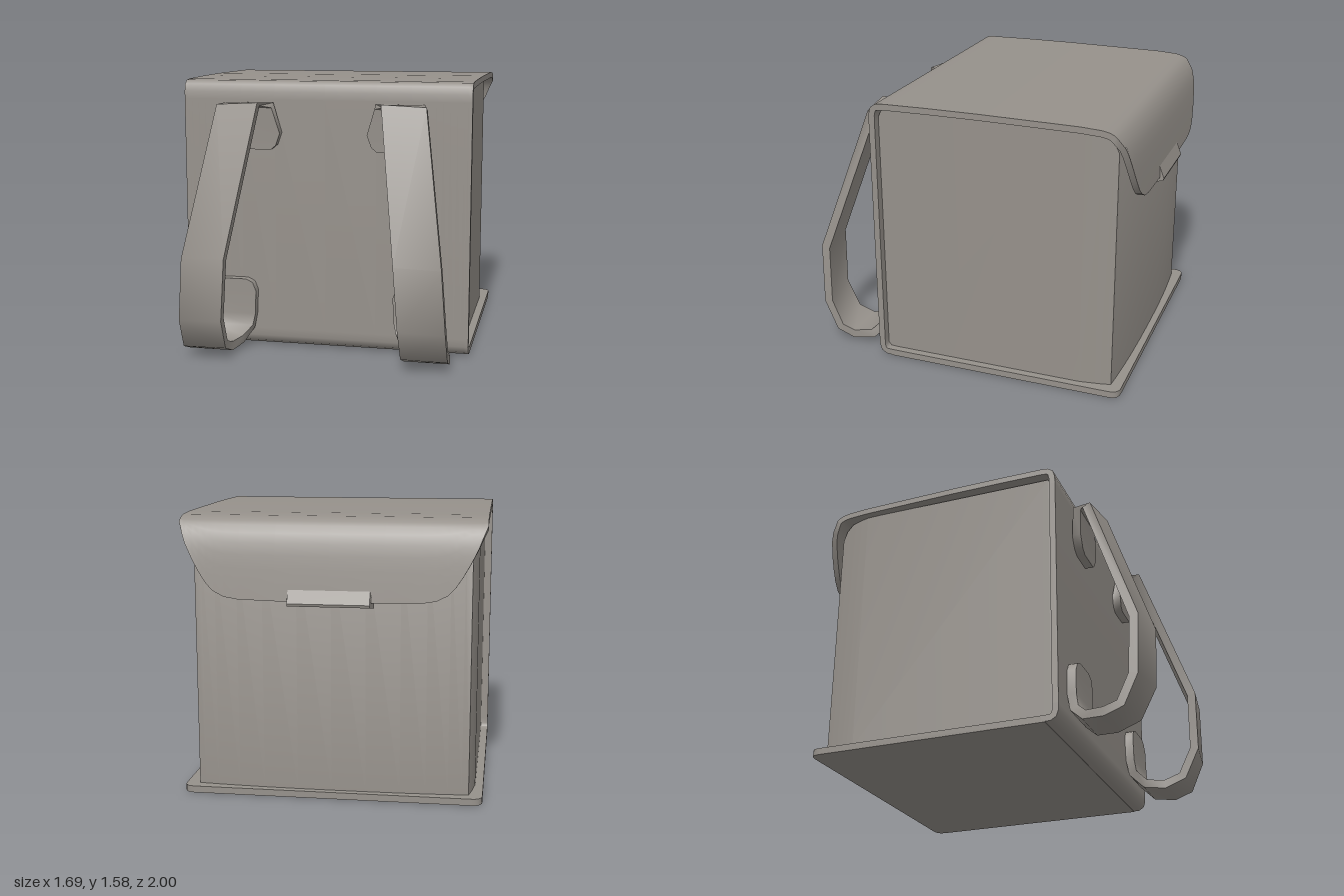
import * as THREE from 'three';
import { toCreasedNormals } from 'three/addons/utils/BufferGeometryUtils.js';

const material = new THREE.MeshStandardMaterial({ color: 0x96918b });

// Joins closed cross-sections (arrays of [x, y, z]) into a capped solid facing outwards.
function loft(sections, crease = 0.9) {
  const n = sections[0].length, last = (sections.length - 1) * n;
  const points = sections.flat();
  let index = [];
  const quad = (a, b, c, d) => index.push(a, b, c, a, c, d);
  for (let s = 0; s < last; s += n) {
    for (let i = 0; i < n; i++) {
      const j = (i + 1) % n;
      quad(s + i, s + j, s + n + j, s + n + i);
    }
  }
  for (let i = 0; i < n / 2 - 1; i++) {
    quad(n - 1 - i, n - 2 - i, i + 1, i);
    quad(last + i, last + i + 1, last + n - 2 - i, last + n - 1 - i);
  }
  // Turn the faces round if the enclosed volume comes out negative
  let volume = 0;
  const v = k => new THREE.Vector3(...points[k]);
  for (let i = 0; i < index.length; i += 3) {
    volume += v(index[i]).dot(v(index[i + 1]).cross(v(index[i + 2])));
  }
  if (volume < 0) index = index.reverse();
  const geometry = new THREE.BufferGeometry();
  geometry.setAttribute('position', new THREE.Float32BufferAttribute(points.flat(), 3));
  geometry.setIndex(index);
  return toCreasedNormals(geometry, crease);
}

function part(name, geometry) {
  const mesh = new THREE.Mesh(geometry, material);
  mesh.name = name;
  return mesh;
}

// Unit normals of a path of [z, y] points
function normals(path) {
  return path.map((p, i) => {
    const a = path[Math.max(i - 1, 0)], b = path[Math.min(i + 1, path.length - 1)];
    const dz = b[0] - a[0], dy = b[1] - a[1], l = Math.hypot(dz, dy) || 1;
    return [-dy / l, dz / l];
  });
}

// Closed outline of a band of the given thickness along a [z, y] path
function band(path, thickness) {
  const ns = normals(path);
  const side = s => path.map(([z, y], i) =>
    [z + ns[i][0] * s * thickness / 2, y + ns[i][1] * s * thickness / 2]);
  return [...side(1), ...side(-1).reverse()];
}

const mirrored = list => [...list.slice(1).reverse().map(([x, ...r]) => [-x, ...r]), ...list];

// Front panel, top and hanging flap in one wrapped sheet
function coverGeometry() {
  const wrap = [[0.45, 0.02], [0.5, 0.022], [0.52, 0.034], [0.529, 0.06], [0.53, 0.1],
    [0.53, 1.47], [0.529, 1.51], [0.52, 1.545], [0.5, 1.558], [0.46, 1.562],
    [0.2, 1.566], [-0.1, 1.567], [-0.68, 1.562], [-0.8, 1.555], [-0.84, 1.546], [-0.86, 1.535]];
  // Flap edge height across the width
  const edge = mirrored([[0, 1.12], [0.3, 1.122], [0.5, 1.127], [0.58, 1.14], [0.64, 1.17],
    [0.68, 1.21], [0.72, 1.27], [0.76, 1.34], [0.8, 1.42], [0.82, 1.47], [0.845, 1.525]]);
  return loft(edge.map(([x, end]) => {
    const path = [...wrap];
    for (let k = 1; k <= 7; k++) {
      const drop = (1.535 - end) * (k / 7) ** 1.6;
      path.push([-0.86 - 0.055 * (1 - Math.exp(-drop / 0.05)) - 0.11 * drop, 1.535 - drop]);
    }
    return band(path, 0.036).map(([z, y]) => [x, y, z]);
  }));
}

// Inner box with rounded top edges, a slightly bowed back and sides drawn in towards it
function boxGeometry() {
  const outline = [[0.51, 0.06], [0.49, 0.035], [-0.72, 0.035], [-0.83, 0.035], [-0.875, 0.035],
    [-0.9, 0.035], [-0.9, 1.43], [-0.875, 1.49], [-0.83, 1.53], [-0.72, 1.546],
    [0.49, 1.53], [0.51, 1.49]];
  const columns = mirrored([0, 0.2, 0.4, 0.55, 0.68, 0.76, 0.8].map(x => [x]));
  return loft(columns.map(([x]) => outline.map(([z, y]) => {
    const rear = Math.max(0, (-0.7 - z) / 0.2);
    const bow = rear > 0 ? 0.025 * Math.abs(x / 0.8) ** 2.5 : 0;
    return [x * (1 - 0.04 * rear ** 1.5), y, z + bow];
  })), 0.5);
}

// Base plate with rounded back corners
function baseGeometry() {
  const w = 0.845, r = 0.06, back = 0.94;
  const shape = new THREE.Shape();
  shape.moveTo(-w, -0.47);
  shape.lineTo(w, -0.47);
  shape.lineTo(w, back - r);
  shape.quadraticCurveTo(w, back, w - r, back);
  shape.lineTo(-w + r, back);
  shape.quadraticCurveTo(-w, back, -w, back - r);
  const geometry = new THREE.ExtrudeGeometry(shape, { depth: 0.038, bevelEnabled: false, curveSegments: 5 });
  return toCreasedNormals(geometry.rotateX(-Math.PI / 2), 0.5);
}

// Carrying strap; each row is z, y, centre x, half width, twist
function strapGeometry(side) {
  const rows = [
    [0.572, 1.185, 0.39, 0.08, 0], [0.573, 1.21, 0.395, 0.115, 0], [0.576, 1.28, 0.405, 0.15, 0],
    [0.59, 1.44, 0.44, 0.14, 0], [0.672, 1.445, 0.48, 0.125, 0.12],
    [0.96, 0.6, 0.605, 0.13, 0.12], [0.95, 0.25, 0.63, 0.13, 0.12], [0.87, 0.085, 0.635, 0.13, 0.08],
    [0.765, 0.047, 0.635, 0.13, 0], [0.65, 0.057, 0.605, 0.13, 0], [0.585, 0.12, 0.565, 0.135, 0],
    [0.575, 0.2, 0.56, 0.145, 0], [0.575, 0.34, 0.555, 0.145, 0],
    [0.575, 0.39, 0.55, 0.12, 0], [0.575, 0.41, 0.55, 0.08, 0]];
  const ns = normals(rows);
  return loft(rows.map(([z, y, x, half, twist], i) => {
    const t = 0.026;
    return [[-1, -1], [1, -1], [1, 1], [-1, 1]].map(([u, v]) => [side * (x + u * half),
      y + ns[i][1] * v * t - u * twist * 0.06, z + ns[i][0] * v * t - u * half * twist]);
  }));
}

// Bevelled clasp on the flap edge
function claspGeometry() {
  const outline = [[-0.93, 1.09], [-0.93, 1.12], [-0.945, 1.205], [-0.968, 1.195],
    [-1.0, 1.115], [-0.995, 1.1]];
  return loft([-1, 1].map(s => outline.map(([z, y]) => [s * (z < -0.95 ? 0.225 : 0.24), y, z])), 0.4);
}

export function createModel() {
  const bag = new THREE.Group();
  bag.name = 'boxBackpack';
  bag.add(
    part('innerBox', boxGeometry()),
    part('coverAndFlap', coverGeometry()),
    part('basePlate', baseGeometry()),
    part('clasp', claspGeometry()),
    part('leftStrap', strapGeometry(1)),
    part('rightStrap', strapGeometry(-1)));
  return bag;
}
